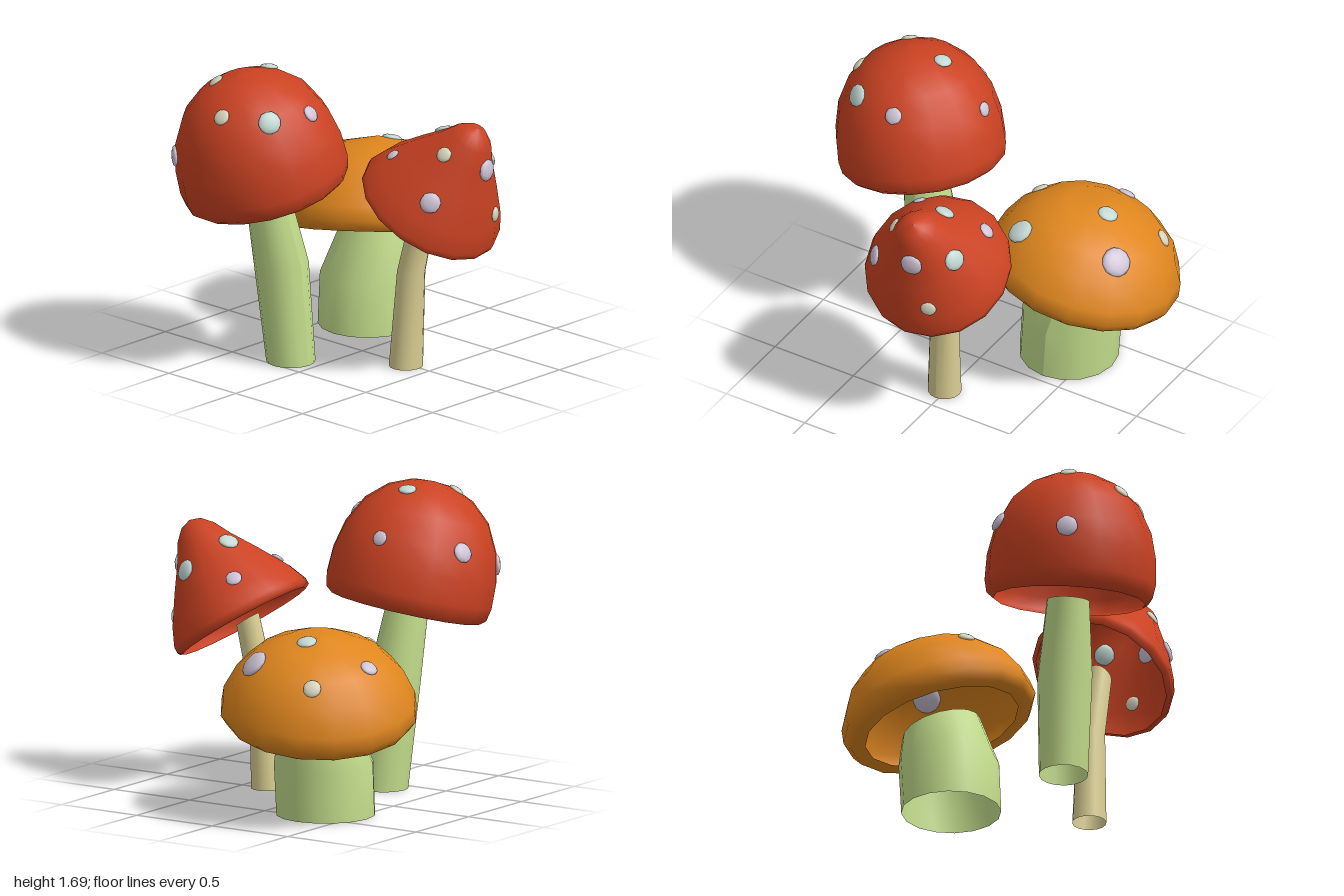
import * as THREE from 'three';

const mat = (name, color, side = THREE.FrontSide) => {
  const m = new THREE.MeshStandardMaterial({ color, side });
  m.name = name;
  return m;
};

export function createModel() {
  const red = mat('red cap', 0xcb4222, THREE.DoubleSide);
  const orange = mat('orange cap', 0xdf861e, THREE.DoubleSide);
  const green = mat('green stem', 0xc4de8c, THREE.DoubleSide);
  const tan = mat('tan stem', 0xdcd094, THREE.DoubleSide);
  const spotMats = {
    lilac: mat('lilac spot', 0xcfc4d6),
    mint: mat('mint spot', 0xc4d9d4),
    cream: mat('cream spot', 0xd8d6bf),
  };
  const UP = new THREE.Vector3(0, 1, 0);

  const addMesh = (parent, name, geometry, material) => {
    const mesh = new THREE.Mesh(geometry, material);
    mesh.name = name;
    parent.add(mesh);
    return mesh;
  };

  // Open bent stem: rings of [x, z, radius, y] from the ground up;
  // a ring without y is cut along the plane of the cap rim
  const makeStem = (rings, rimHeight) => {
    const last = rings.length - 1;
    const geo = new THREE.CylinderGeometry(1, 1, 1, 16, last, true);
    const p = geo.attributes.position;
    for (let i = 0; i < p.count; i++) {
      const [cx, cz, r, y] = rings[Math.round((p.getY(i) + 0.5) * last)];
      const x = cx + p.getX(i) * r, z = cz + p.getZ(i) * r;
      p.setXYZ(i, x, y ?? rimHeight(x, z), z);
    }
    geo.computeVertexNormals();
    return geo;
  };

  // Closest point on the cap profile, with its outward normal
  const closestOnProfile = (profile, q) => {
    let best = { d: Infinity };
    for (let i = 0; i < profile.length - 1; i++) {
      const a = profile[i];
      const dir = profile[i + 1].clone().sub(a);
      const t = THREE.MathUtils.clamp(q.clone().sub(a).dot(dir) / dir.lengthSq(), 0, 1);
      const point = a.clone().addScaledVector(dir, t);
      const d = point.distanceTo(q);
      if (d < best.d) best = { d, point, normal: new THREE.Vector2(dir.y, -dir.x).normalize() };
    }
    return best;
  };

  const makeMushroom = ({ name, capMat, stemMat, stem, centre, axis, profile, spots }) => {
    const group = new THREE.Group();
    group.name = name;
    const rimHeight = (x, z) =>
      centre[1] - (axis[0] * (x - centre[0]) + axis[2] * (z - centre[2])) / axis[1];
    addMesh(group, 'stem', makeStem(stem, rimHeight), stemMat);

    // Tilted hollow cap
    const cap = new THREE.Group();
    cap.name = 'cap';
    cap.position.set(...centre);
    cap.quaternion.setFromUnitVectors(UP, new THREE.Vector3(...axis).normalize());
    cap.updateMatrixWorld(true);
    group.add(cap);
    const pts = profile.map(([r, h]) => new THREE.Vector2(r, h));
    addMesh(cap, 'capShell', new THREE.LatheGeometry(pts, 16), capMat);

    // Flattened spots, snapped to the cap surface
    for (const [x, y, z, r, colour] of spots) {
      const local = cap.worldToLocal(new THREE.Vector3(x, y, z));
      const rho = Math.hypot(local.x, local.z);
      const { point, normal } = closestOnProfile(pts, new THREE.Vector2(rho, local.y));
      const cx = local.x / rho, cz = local.z / rho;
      const spot = addMesh(cap, 'spot', new THREE.IcosahedronGeometry(1, 1), spotMats[colour]);
      spot.position.set(cx * point.x, point.y, cz * point.x);
      spot.quaternion.setFromUnitVectors(UP,
        new THREE.Vector3(cx * normal.x, normal.y, cz * normal.x));
      spot.scale.set(r, r * 0.36, r);
    }
    return group;
  };

  const model = new THREE.Group();
  model.name = 'mushrooms';

  model.add(makeMushroom({
    name: 'tallMushroom', capMat: red, stemMat: green,
    stem: [[-0.385, -0.17, 0.134, 0], [-0.43, -0.2, 0.15, 0.57], [-0.503, -0.24, 0.116]],
    centre: [-0.5, 0.985, -0.23], axis: [-0.22, 1, -0.12],
    profile: [[0.415, 0], [0.453, 0.03], [0.467, 0.1], [0.462, 0.24], [0.428, 0.39],
      [0.35, 0.54], [0.24, 0.64], [0.12, 0.693], [0, 0.707]],
    spots: [
      [-0.765, 1.5, 0.03, 0.064, 'mint'], [-0.5, 1.5, 0.085, 0.048, 'lilac'],
      [-0.91, 1.52, -0.2, 0.046, 'cream'], [-0.42, 1.67, -0.3, 0.05, 'mint'],
      [-0.17, 1.43, -0.3, 0.042, 'lilac'], [-0.42, 1.35, -0.66, 0.057, 'lilac'],
      [-0.71, 1.62, -0.42, 0.044, 'cream'], [-0.87, 1.2, -0.57, 0.06, 'lilac'],
    ],
  }));

  model.add(makeMushroom({
    name: 'wideMushroom', capMat: orange, stemMat: green,
    stem: [[0.375, -0.315, 0.272, 0], [0.395, -0.315, 0.274, 0.29], [0.457, -0.315, 0.212]],
    centre: [0.447, 0.53, -0.317], axis: [0.2, 1, -0.17],
    profile: [[0.43, 0.01], [0.505, 0.005], [0.54, 0.06], [0.53, 0.14], [0.46, 0.28],
      [0.35, 0.39], [0.2, 0.465], [0, 0.495]],
    spots: [
      [0.12, 0.92, -0.43, 0.047, 'cream'], [0.51, 0.88, -0.7, 0.05, 'lilac'],
      [0.84, 0.8, -0.55, 0.05, 'cream'], [0.61, 1.02, -0.35, 0.056, 'mint'],
      [0.79, 0.88, -0.13, 0.082, 'lilac'], [0.245, 0.9, -0.05, 0.073, 'mint'],
    ],
  }));

  model.add(makeMushroom({
    name: 'pointedMushroom', capMat: red, stemMat: tan,
    stem: [[-0.015, 0.34, 0.093, 0], [0, 0.365, 0.077, 0.54], [0.02, 0.45, 0.062]],
    centre: [0.03, 0.918, 0.465], axis: [0.06, 0.84, 0.54],
    profile: [[0.38, 0], [0.408, 0.015], [0.408, 0.05], [0.365, 0.15], [0.265, 0.31],
      [0.165, 0.46], [0.115, 0.55], [0.06, 0.607], [0, 0.627]],
    spots: [
      [0.085, 1.21, 0.84, 0.062, 'lilac'], [-0.2, 1.06, 0.7, 0.058, 'lilac'],
      [0.17, 0.93, 0.8, 0.043, 'cream'], [0.26, 1.21, 0.69, 0.06, 'mint'],
      [-0.1, 1.31, 0.71, 0.043, 'cream'], [-0.145, 1.23, 0.38, 0.036, 'lilac'],
      [0.265, 1.2, 0.37, 0.046, 'lilac'], [0.1, 1.37, 0.52, 0.056, 'mint'],
    ],
  }));

  return model;
}
